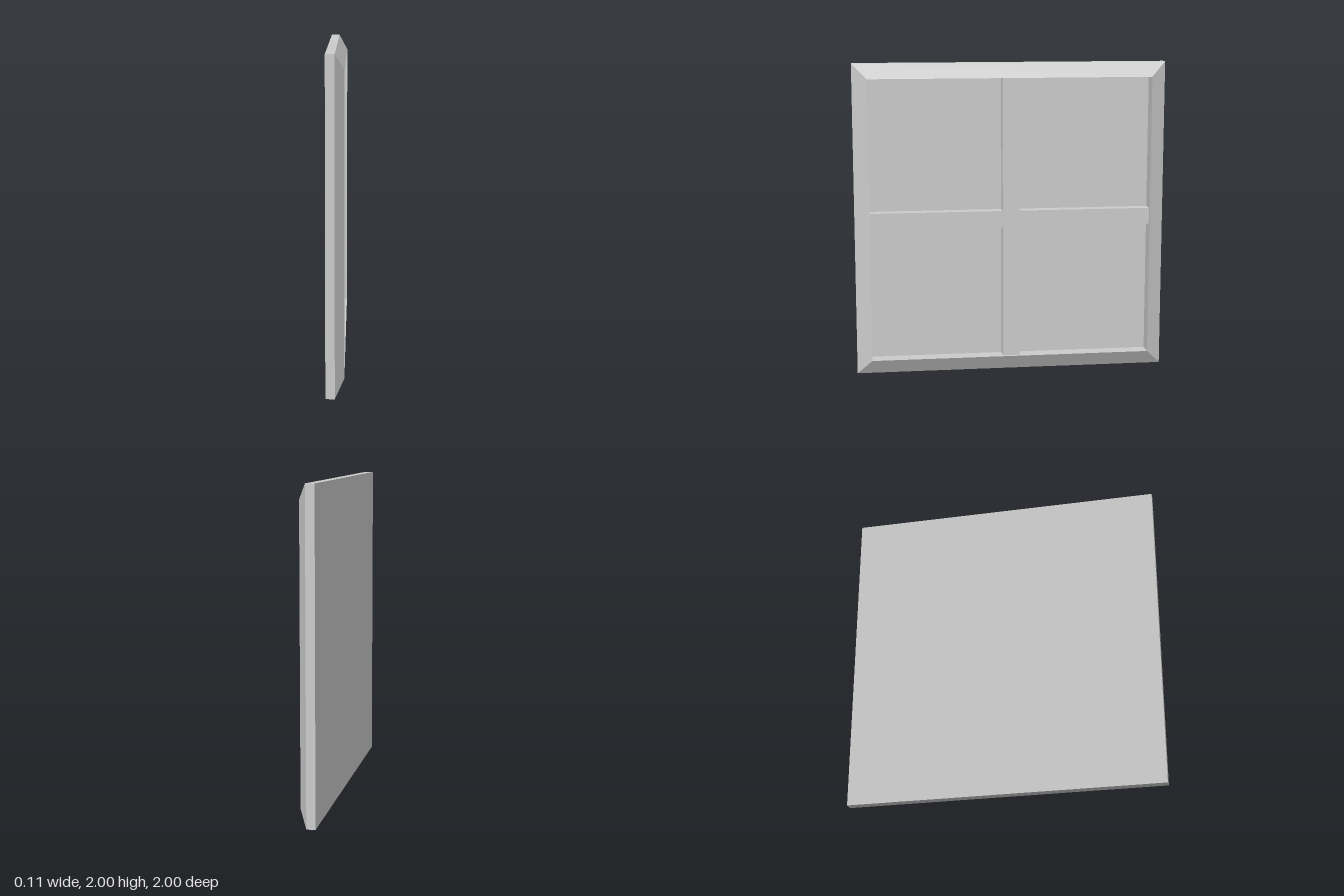
import * as THREE from 'three';

const HALF = 1;          // half of the outer side
const INNER = 0.905;     // half of the opening
const BACK = -0.055;     // rear face
const PANE = -0.045;     // pane surface behind the bars
const BAR_FRONT = 0.032; // front of the crossbars
const RIM = 0.055;       // raised inner lip of the frame
const BAR_WIDTH = 0.108;

export function createModel() {
  const material = new THREE.MeshStandardMaterial({ color: 0xcccccc, flatShading: true });
  const group = new THREE.Group();
  group.name = 'window';

  const add = (name, geometry, x = 0, y = 1, z = 0) => {
    const mesh = new THREE.Mesh(geometry, material);
    mesh.name = name;
    mesh.position.set(x, y, z);
    group.add(mesh);
    return mesh;
  };

  // Thin pane closing the back
  add('pane', new THREE.BoxGeometry(PANE - BACK, 2 * HALF, 2 * HALF), (PANE + BACK) / 2);

  // Mitred frame: a bevelled profile swept round four sides
  const profile = [[HALF, PANE], [HALF, 0], [INNER, RIM], [INNER, PANE]]
    .map(([r, h]) => new THREE.Vector2(r * Math.SQRT2, h));
  const frame = new THREE.LatheGeometry(profile, 4, Math.PI / 4);
  frame.rotateZ(-Math.PI / 2);
  add('frame', frame);

  // Crossbars: one full horizontal bar, a vertical bar above and below it
  const depth = BAR_FRONT - PANE;
  const barX = (BAR_FRONT + PANE) / 2;
  add('horizontalBar', new THREE.BoxGeometry(depth, BAR_WIDTH, 2 * INNER), barX);
  const length = INNER - BAR_WIDTH / 2;
  for (const [name, side] of [['upperBar', 1], ['lowerBar', -1]]) {
    add(name, new THREE.BoxGeometry(depth, length, BAR_WIDTH), barX, 1 + side * (INNER + BAR_WIDTH / 2) / 2);
  }

  return group;
}
